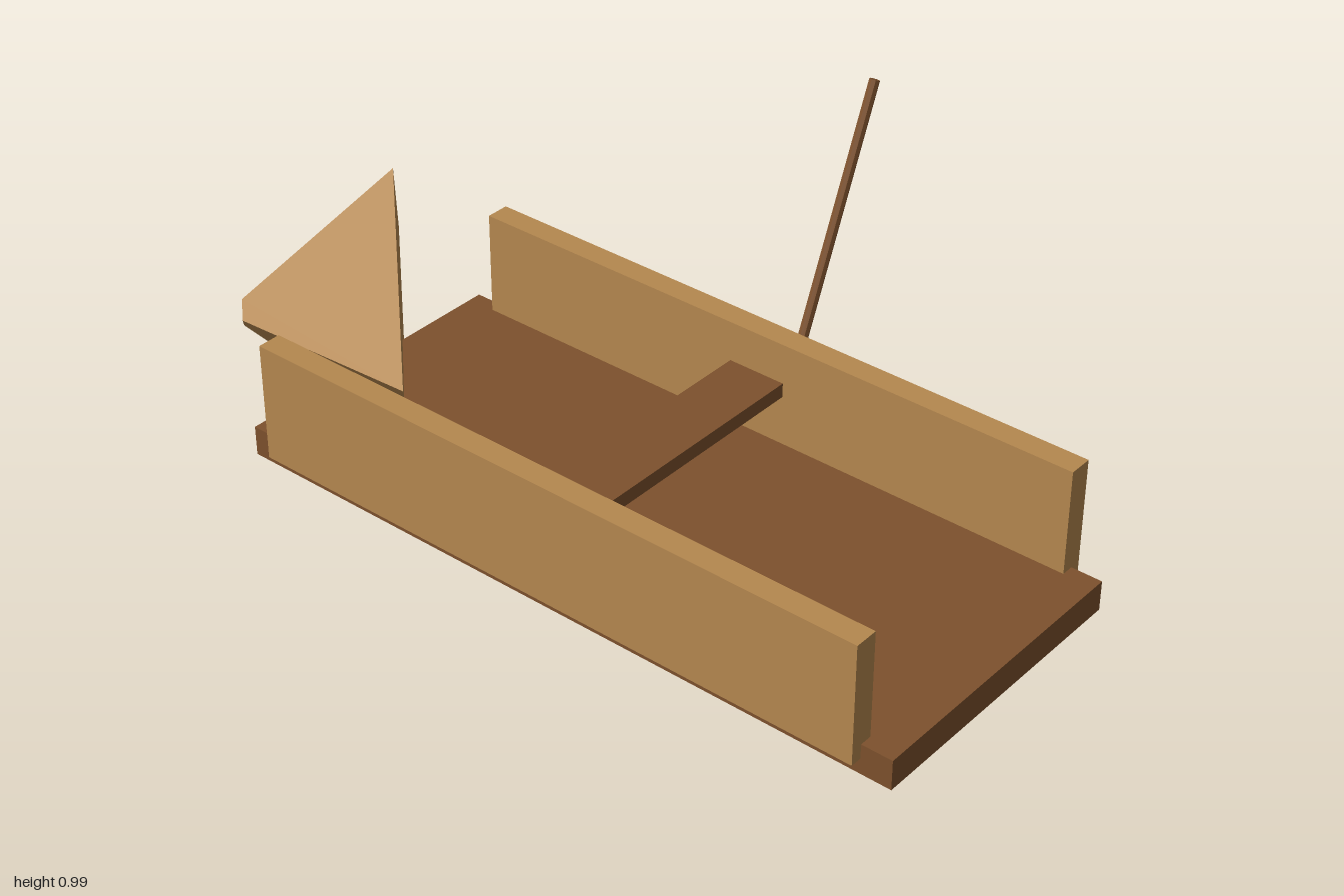
import * as THREE from 'three';

export function createModel() {
  const model = new THREE.Group();
  model.name = 'woodenBoat';

  const lightWood = new THREE.MeshStandardMaterial({ color: 0xb5884f });
  lightWood.name = 'light wood';
  const darkWood = new THREE.MeshStandardMaterial({ color: 0x7d512d });
  darkWood.name = 'dark wood';

  const add = (name, geometry, material, x, y, z) => {
    const mesh = new THREE.Mesh(geometry, material);
    mesh.name = name;
    mesh.position.set(x, y, z);
    model.add(mesh);
    return mesh;
  };
  // Gives every face its own normal
  const faceted = (geometry) => {
    const flat = geometry.toNonIndexed();
    flat.computeVertexNormals();
    return flat;
  };

  // Hull: floor board, two side boards and a bench between them
  const hullX = -0.168;
  add('floor', new THREE.BoxGeometry(0.71, 0.071, 1.702), darkWood, hullX, 0.251, 0.149);
  for (const side of [-1, 1]) {
    add(side > 0 ? 'leftSide' : 'rightSide', new THREE.BoxGeometry(0.056, 0.284, 1.56),
      lightWood, hullX + side * 0.354, 0.394, 0.147);
  }
  add('bench', new THREE.BoxGeometry(0.64, 0.034, 0.142), darkWood, hullX, 0.428, 0.142);

  // Bow: four-sided blunt cone lying on its side, turned to the rear corner
  const bow = faceted(new THREE.CylinderGeometry(0.035, 0.354, 0.354, 4));
  bow.rotateX(-Math.PI / 2);
  bow.rotateY(Math.PI / 4);
  add('bow', bow, lightWood, -0.168, 0.358, -0.851);

  // Oar: thin pole leaning outwards
  const foot = new THREE.Vector2(0.122, 0.006);
  const tip = new THREE.Vector2(0.535, 0.99);
  const lean = tip.clone().sub(foot);
  const oar = add('oar', faceted(new THREE.CylinderGeometry(0.012, 0.012, lean.length(), 8)),
    darkWood, (foot.x + tip.x) / 2, (foot.y + tip.y) / 2, 0.144);
  oar.rotation.z = -Math.atan2(lean.x, lean.y);

  return model;
}
